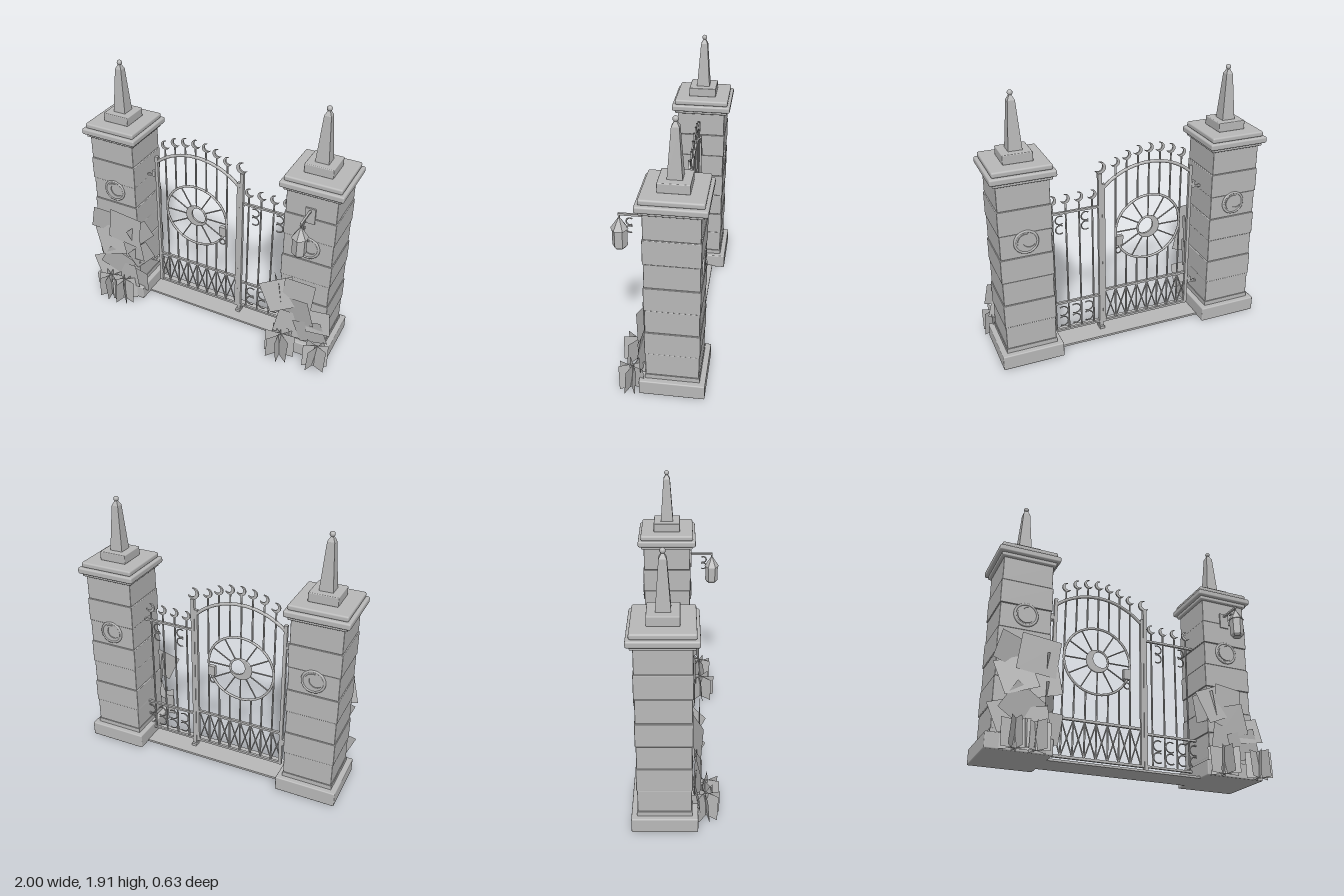
import * as THREE from 'three';
import { RoundedBoxGeometry } from 'three/addons/geometries/RoundedBoxGeometry.js';

const grey = new THREE.MeshStandardMaterial({ color: 0xb8b8b8 });
grey.name = 'stone and iron grey';
const leafGrey = new THREE.MeshStandardMaterial({ color: 0xb8b8b8, side: THREE.DoubleSide });
leafGrey.name = 'foliage grey';

const PZ = -0.09; // pillar centre depth
const GZ = -0.097; // gate plane

function add(parent, name, geo, x = 0, y = 0, z = 0, mat = grey) {
  const m = new THREE.Mesh(geo, mat);
  m.name = name;
  m.position.set(x, y, z);
  parent.add(m);
  return m;
}
function group(parent, name, x = 0, y = 0, z = 0) {
  const g = new THREE.Group();
  g.name = name;
  g.position.set(x, y, z);
  parent.add(g);
  return g;
}
const box = (p, n, w, h, d, x, y, z) => add(p, n, new THREE.BoxGeometry(w, h, d), x, y, z);
const slab = (p, n, w, h, y, r = 0.012) => add(p, n, new RoundedBoxGeometry(w, h, w, 2, r), 0, y, 0);

// Straight rod between two points in the plane z
function rod(p, n, x0, y0, x1, y1, r, z = GZ) {
  const m = add(p, n, new THREE.CylinderGeometry(r, r, Math.hypot(x1 - x0, y1 - y0), 6), (x0 + x1) / 2, (y0 + y1) / 2, z);
  m.rotation.z = Math.atan2(y1 - y0, x1 - x0) - Math.PI / 2;
  return m;
}

// Crescent moon, horns opening to the upper right
function moon(p, n, R, x, y, z, depth) {
  const h = 0.87, d = 0.4 * R;
  const ix = R * Math.cos(h) - d, iy = R * Math.sin(h);
  const s = new THREE.Shape();
  s.absarc(0, 0, R, h, 2 * Math.PI - h, false);
  s.absarc(d, 0, Math.hypot(ix, iy), -Math.atan2(iy, ix), Math.atan2(iy, ix), true);
  const geo = new THREE.ExtrudeGeometry(s, { depth, bevelEnabled: false, curveSegments: 14 });
  geo.translate(0, 0, -depth / 2);
  add(p, n, geo, x, y, z).rotation.z = 0.5;
}

// C-shaped scroll: two stacked arcs opening towards +x (side 1) or -x (side -1)
function scroll(p, x, y, z, r, side = 1) {
  const g = group(p, 'scroll', x, y, z);
  for (const s of [1, -1]) {
    const arc = add(g, 'scrollArc', new THREE.TorusGeometry(r, 0.005, 6, 16, 4.4), 0, s * r * 1.12, 0);
    arc.rotation.z = (side > 0 ? Math.PI : 0) - 2.2;
  }
  return g;
}

function pillar(root, name, x) {
  const g = group(root, name, x, 0, PZ);
  slab(g, 'plinth', 0.436, 0.108, 0.054, 0.008);
  box(g, 'plinthStep', 0.36, 0.034, 0.36, 0, 0.124, 0);
  for (let i = 0; i < 7; i++) {
    const w = i % 2 ? 0.362 : 0.352;
    slab(g, 'stoneBlock', w, 0.173, 0.227 + i * 0.1735, 0.005);
  }
  slab(g, 'capNeck', 0.39, 0.03, 1.37, 0.008);
  slab(g, 'capSlab', 0.436, 0.045, 1.4025);
  slab(g, 'capTop', 0.395, 0.038, 1.443);
  slab(g, 'obeliskFoot', 0.2, 0.065, 1.4925, 0.006);
  const taper = (n, top, bottom, y0, y1) => {
    const geo = new THREE.CylinderGeometry(top * Math.SQRT2, bottom * Math.SQRT2, y1 - y0, 4).toNonIndexed();
    geo.computeVertexNormals();
    add(g, n, geo, 0, (y0 + y1) / 2, 0).rotation.y = Math.PI / 4;
  };
  taper('obelisk', 0.024, 0.047, 1.525, 1.845);
  taper('obeliskTip', 0.004, 0.024, 1.845, 1.885);
  add(g, 'finialBall', new THREE.SphereGeometry(0.018, 16, 12), 0, 1.89, 0);
  // Moon medallion on front and back
  for (const s of [1, -1]) {
    const m = group(g, 'medallion', 0, 0.943, s * 0.179);
    m.rotation.y = s > 0 ? 0 : Math.PI;
    add(m, 'medallionRing', new THREE.TorusGeometry(0.077, 0.009, 8, 32));
    add(m, 'medallionDisc', new THREE.CylinderGeometry(0.075, 0.075, 0.008, 32)).rotation.x = Math.PI / 2;
    moon(m, 'medallionMoon', 0.06, 0, 0, 0.006, 0.01);
  }
}

function gateLeaf(root) {
  const g = group(root, 'gateLeaf');
  const cx = -0.195, cy = 0.786, R = 0.25, step = 0.0835;
  const archY = x => 0.805 + Math.sqrt(0.233 - (x - cx) ** 2);
  box(g, 'hingeStile', 0.024, 1.15, 0.024, -0.52, 0.635, GZ);
  box(g, 'latchStile', 0.022, 1.12, 0.024, 0.148, 0.62, GZ);
  for (const y of [0.068, 0.332]) box(g, 'rail', 0.66, 0.017, 0.018, -0.187, y, GZ);
  // Arched top rail
  const pts = [];
  for (let i = 0; i <= 16; i++) { const x = -0.52 + i * 0.0418; pts.push(new THREE.Vector3(x, archY(x), GZ)); }
  add(g, 'archRail', new THREE.TubeGeometry(new THREE.CatmullRomCurve3(pts), 32, 0.012, 8));
  // Upright bars with moons, interrupted by the wheel
  for (let k = -3; k <= 3; k++) {
    const x = cx + k * step, top = archY(x) + 0.105, gap = Math.sqrt(Math.max(0, R * R - (k * step) ** 2));
    rod(g, 'bar', x, 0.068, x, cy - gap, 0.0065);
    rod(g, 'bar', x, cy + gap, x, top - 0.028, 0.0065);
    moon(g, 'barMoon', 0.034, x + 0.003, top, GZ, 0.012);
  }
  // Lattice
  for (let i = 0; i < 8; i++) {
    const a = cx + (i - 4) * step, b = a + step;
    rod(g, 'latticeRod', a, 0.075, b, 0.328, 0.005, GZ + 0.004);
    rod(g, 'latticeRod', a, 0.328, b, 0.075, 0.005, GZ - 0.004);
  }
  // Wheel
  add(g, 'wheelRim', new THREE.TorusGeometry(R, 0.009, 8, 48), cx, cy, GZ);
  add(g, 'wheelHub', new THREE.TorusGeometry(0.08, 0.008, 8, 32), cx, cy, GZ);
  moon(g, 'hubMoon', 0.078, cx, cy, GZ, 0.014);
  for (let i = 0; i < 12; i++) {
    const c = Math.cos(i * Math.PI / 6), s = Math.sin(i * Math.PI / 6);
    rod(g, 'spoke', cx + 0.08 * c, cy + 0.08 * s, cx + R * c, cy + R * s, 0.005);
  }
  // Lock, pull ring and hinges
  box(g, 'lockBox', 0.052, 0.075, 0.03, 0.028, 0.72, GZ);
  add(g, 'pullRing', new THREE.TorusGeometry(0.023, 0.005, 6, 20), 0.028, 0.632, GZ + 0.012);
  for (const y of [1.04, 0.24]) {
    box(g, 'hingeArm', 0.09, 0.014, 0.016, -0.57, y, GZ);
    box(g, 'hingePin', 0.024, 0.045, 0.028, -0.546, y + 0.024, GZ);
  }
}

function sidePanel(root) {
  const g = group(root, 'sidePanel');
  box(g, 'gatePost', 0.026, 1.25, 0.028, 0.173, 0.635, GZ);
  box(g, 'postFoot', 0.036, 0.02, 0.06, 0.173, 0.025, GZ);
  moon(g, 'postMoon', 0.042, 0.168, 1.3, GZ, 0.014);
  for (const y of [1.015, 0.3, 0.07]) box(g, 'panelRail', 0.4, 0.015, 0.018, 0.38, y, GZ);
  for (let i = 0; i < 4; i++) {
    const x = 0.228 + i * 0.096;
    rod(g, 'panelBar', x, 0.07, x, 1.085, 0.0065);
    moon(g, 'panelMoon', 0.034, x + 0.003, 1.115, GZ, 0.012);
    scroll(g, x + 0.045, 0.185, GZ, 0.038);
  }
  for (const x of [0.277, 0.464]) scroll(g, x, 0.925, GZ, 0.032, -1);
}

function lantern(root) {
  const g = group(root, 'lantern', 0.749, 0, 0.26);
  box(g, 'wallPlate', 0.07, 0.115, 0.012, 0, 1.205, -0.166);
  box(g, 'bracketArm', 0.014, 0.014, 0.18, 0, 1.243, -0.085);
  scroll(g, 0, 1.168, -0.068, 0.024).rotation.y = Math.PI / 2;
  const hex = (n, top, bottom, y0, y1) => {
    const geo = new THREE.CylinderGeometry(top, bottom, y1 - y0, 6).toNonIndexed();
    geo.computeVertexNormals();
    add(g, n, geo, 0, (y0 + y1) / 2, 0);
  };
  rod(g, 'hangingHook', 0, 1.2, 0, 1.25, 0.006, 0);
  hex('lanternRoof', 0.008, 0.058, 1.14, 1.215);
  hex('lanternBody', 0.049, 0.049, 1.022, 1.14);
  hex('lanternBase', 0.049, 0.034, 1.003, 1.022);
}

// Ivy sheets: x, y, width, height, turn, z
const ivy = [
  [-0.69, 0.65, 0.27, 0.26, -0.12, 0.135], [-0.85, 0.66, 0.25, 0.2, -0.25, 0.115],
  [-0.83, 0.5, 0.24, 0.24, 0.35, 0.13], [-0.64, 0.49, 0.2, 0.22, 0.2, 0.12],
  [-0.78, 0.3, 0.24, 0.22, -0.55, 0.125], [-0.88, 0.23, 0.2, 0.2, 0.4, 0.115],
  [-0.71, 0.2, 0.22, 0.2, 0.15, 0.12], [-0.585, 0.18, 0.13, 0.2, -0.1, 0.11],
  [0.6, 0.51, 0.25, 0.24, 0.45, 0.135], [0.72, 0.54, 0.22, 0.24, -0.1, 0.12],
  [0.72, 0.4, 0.24, 0.22, 0.25, 0.125], [0.88, 0.35, 0.18, 0.18, 0.15, 0.12],
  [0.68, 0.25, 0.22, 0.22, -0.2, 0.115], [0.83, 0.24, 0.22, 0.2, 0.3, 0.12],
  [0.62, 0.13, 0.14, 0.16, 0.1, 0.135],
];

function foliage(root) {
  const g = group(root, 'foliage');
  ivy.forEach(([x, y, w, h, turn, z], i) => {
    const m = add(g, 'ivySheet', new THREE.PlaneGeometry(w, h), x, y, z, leafGrey);
    m.rotation.set(0.16 * Math.sin(i * 2.1), 0.22 * Math.sin(i * 1.7), turn);
  });
  // Ivy wrapping onto the inner pillar sides
  for (const [x, y, s] of [[-0.59, 0.6, 1], [-0.59, 0.4, 1], [0.555, 0.5, -1]]) {
    const m = add(g, 'sideIvySheet', new THREE.PlaneGeometry(0.16, 0.2), x, y, 0.08, leafGrey);
    m.rotation.set(0.2, s * 0.95, 0.25);
  }
  // Grass tufts of crossed upright sheets
  for (const [x, w, turn] of [[-0.83, 0.19, 0.2], [-0.7, 0.19, 0.55], [0.63, 0.22, 0.1], [0.905, 0.18, 0.4]]) {
    const tuft = group(g, 'grassTuft', x, 0.095, 0.18);
    for (let i = 0; i < 4; i++) {
      const m = add(tuft, 'grassSheet', new THREE.PlaneGeometry(w, 0.185), 0, 0, 0, leafGrey);
      m.rotation.set(i % 2 ? 0.08 : -0.08, turn + i * Math.PI / 4, 0, 'YXZ');
    }
  }
}

export function createModel() {
  const root = new THREE.Group();
  root.name = 'gateway';
  box(root, 'threshold', 1.12, 0.015, 0.226, -0.017, 0.0075, -0.097);
  pillar(root, 'rightPillar', -0.783);
  pillar(root, 'leftPillar', 0.749);
  gateLeaf(root);
  sidePanel(root);
  lantern(root);
  foliage(root);
  return root;
}
